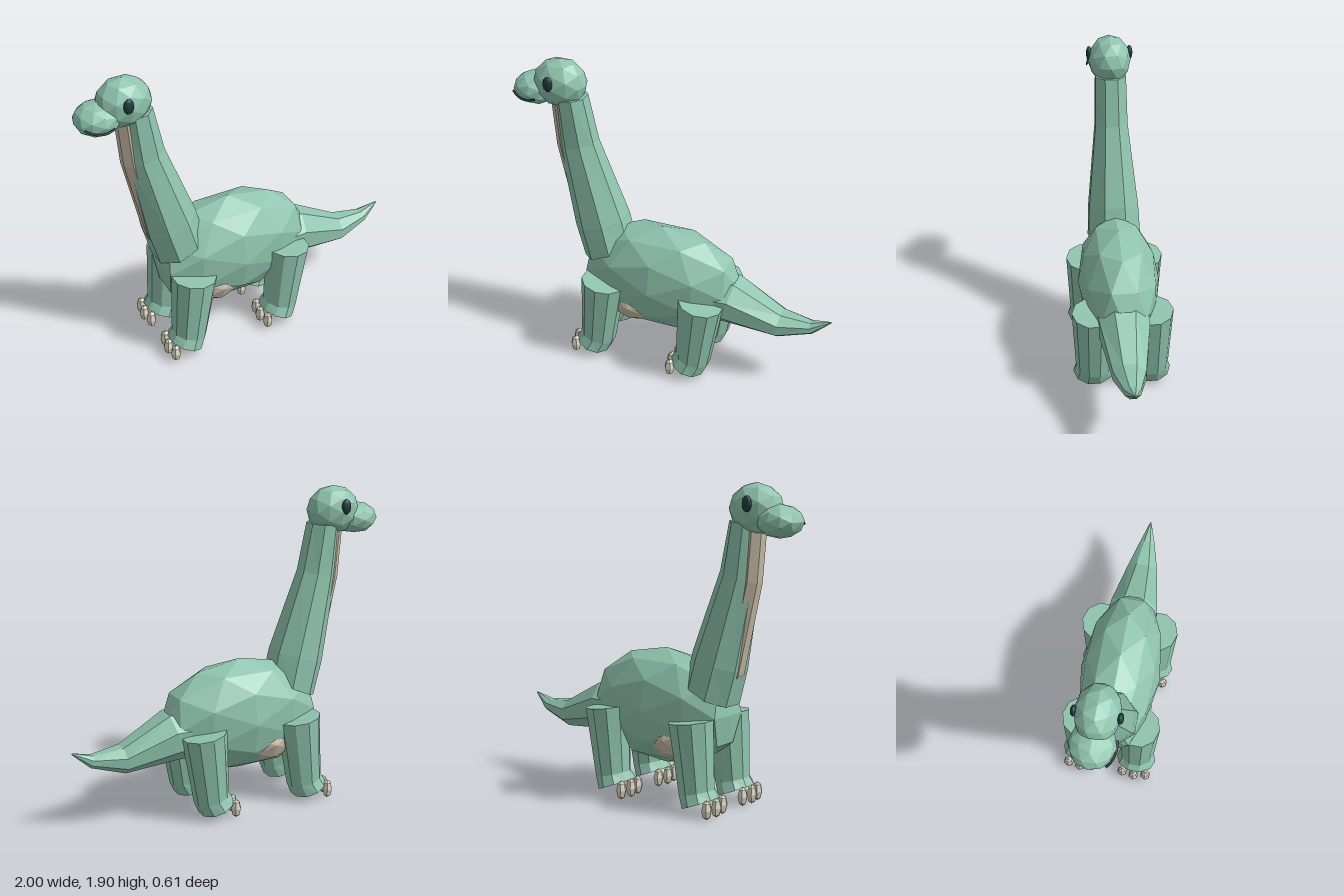
import * as THREE from 'three';

const mat = (color) => new THREE.MeshStandardMaterial({ color, flatShading: true });

// Closed skin through rings [x, y, radius, tilt, zRadius?] lying around the z = 0 plane
function loft(rings, sides, offset = Math.PI / sides) {
  const pos = [], idx = [], n = rings.length;
  for (const [x, y, r, tilt, rz = r] of rings) {
    for (let j = 0; j < sides; j++) {
      const a = offset + (j / sides) * Math.PI * 2, u = Math.cos(a) * r;
      pos.push(x + u * Math.cos(tilt), y + u * Math.sin(tilt), Math.sin(a) * rz);
    }
  }
  const first = n * sides, last = first + 1;
  pos.push(rings[0][0], rings[0][1], 0, rings[n - 1][0], rings[n - 1][1], 0);
  for (let j = 0; j < sides; j++) {
    const k = (j + 1) % sides;
    for (let i = 0; i < n - 1; i++) {
      const a = i * sides, b = a + sides;
      idx.push(a + j, a + k, b + j, a + k, b + k, b + j);
    }
    idx.push(first, k, j, last, (n - 1) * sides + j, (n - 1) * sides + k);
  }
  const g = new THREE.BufferGeometry();
  g.setAttribute('position', new THREE.Float32BufferAttribute(pos, 3));
  g.setIndex(idx);
  g.computeVertexNormals();
  return g;
}

// Faceted ellipsoid
function blob(center, radii, detail = 1) {
  return new THREE.IcosahedronGeometry(1, detail).scale(...radii).translate(...center);
}

export function createModel() {
  const model = new THREE.Group();
  model.name = 'longNeckedDinosaur';
  const skin = mat(0x8fc4ae), cream = mat(0xc9bda8), claw = mat(0xdcd8c4);
  const dark = new THREE.MeshStandardMaterial({ color: 0x1f3b3c });
  const add = (name, geometry, material, parent = model) => {
    const mesh = new THREE.Mesh(geometry, material);
    mesh.name = name;
    parent.add(mesh);
    return mesh;
  };

  // Body, with the chest blunted under the neck
  const body = blob([-0.08, 0.56, 0], [0.53, 0.35, 0.25]);
  const p = body.attributes.position;
  for (let i = 0; i < p.count; i++) p.setX(i, Math.max(p.getX(i), -0.54));
  body.computeVertexNormals();
  add('body', body, skin);
  add('bellyPatch', blob([-0.22, 0.4, 0], [0.24, 0.16, 0.225]), cream);

  // Neck and paler throat
  add('neck', loft([
    [-0.645, 1.68, 0.1, 0.08], [-0.605, 1.38, 0.122, 0.2, 0.107],
    [-0.47, 0.88, 0.17, 0.3, 0.165], [-0.42, 0.69, 0.17, 0.45, 0.175],
  ], 8), skin);
  add('throat', loft([
    [-0.695, 1.66, 0.075, 0.08, 0.07], [-0.668, 1.36, 0.078, 0.2, 0.07],
    [-0.548, 0.83, 0.08, 0.28, 0.08], [-0.5, 0.7, 0.06, 0.4, 0.06],
  ], 8), cream);

  // Tail
  add('tail', loft([
    [0.27, 0.5, 0.16, 1.4, 0.17], [0.38, 0.5, 0.155, 1.38, 0.16],
    [0.69, 0.405, 0.086, 1.5, 0.105], [0.885, 0.427, 0.04, 1.85, 0.05],
    [1, 0.49, 0.004, 2.0],
  ], 8), skin);

  // Head
  const head = new THREE.Group();
  head.name = 'head';
  model.add(head);
  add('skull', blob([-0.71, 1.755, 0], [0.165, 0.148, 0.13]), skin, head);
  add('snout', blob([-0.865, 1.695, 0], [0.138, 0.095, 0.13]), skin, head);
  for (const s of [1, -1]) {
    const eye = add(s > 0 ? 'leftEye' : 'rightEye', new THREE.SphereGeometry(1, 14, 10), dark, head);
    eye.scale.set(0.03, 0.046, 0.018);
    eye.position.set(-0.73, 1.79, 0.124 * s);
  }
  const smile = new THREE.CatmullRomCurve3([
    [-0.975, 1.69, 0.088], [-0.93, 1.67, 0.114], [-0.87, 1.663, 0.128], [-0.815, 1.678, 0.125],
  ].map((v) => new THREE.Vector3(...v)));
  add('mouth', new THREE.TubeGeometry(smile, 12, 0.007, 6), dark, head);

  // Legs with three toes each
  const legShape = loft([
    [0, 0.54, 0.138, -0.13, 0.13], [-0.045, 0.13, 0.109, -0.25, 0.108],
    [-0.075, 0.07, 0.11, -0.38, 0.125],
  ], 10);
  const toeShape = new THREE.SphereGeometry(1, 6, 4).scale(0.032, 0.058, 0.033);
  for (const [end, x] of [['front', -0.395], ['hind', 0.24]]) {
    for (const s of [1, -1]) {
      const leg = new THREE.Group();
      leg.name = end + (s > 0 ? 'LeftLeg' : 'RightLeg');
      leg.position.set(x, 0, 0.175 * s);
      model.add(leg);
      add('limb', legShape, skin, leg);
      for (const z of [-0.075, 0, 0.075]) {
        const toe = add('toe', toeShape, claw, leg);
        toe.position.set(z === 0 ? -0.185 : -0.172, 0.062, z);
      }
    }
  }
  return model;
}
